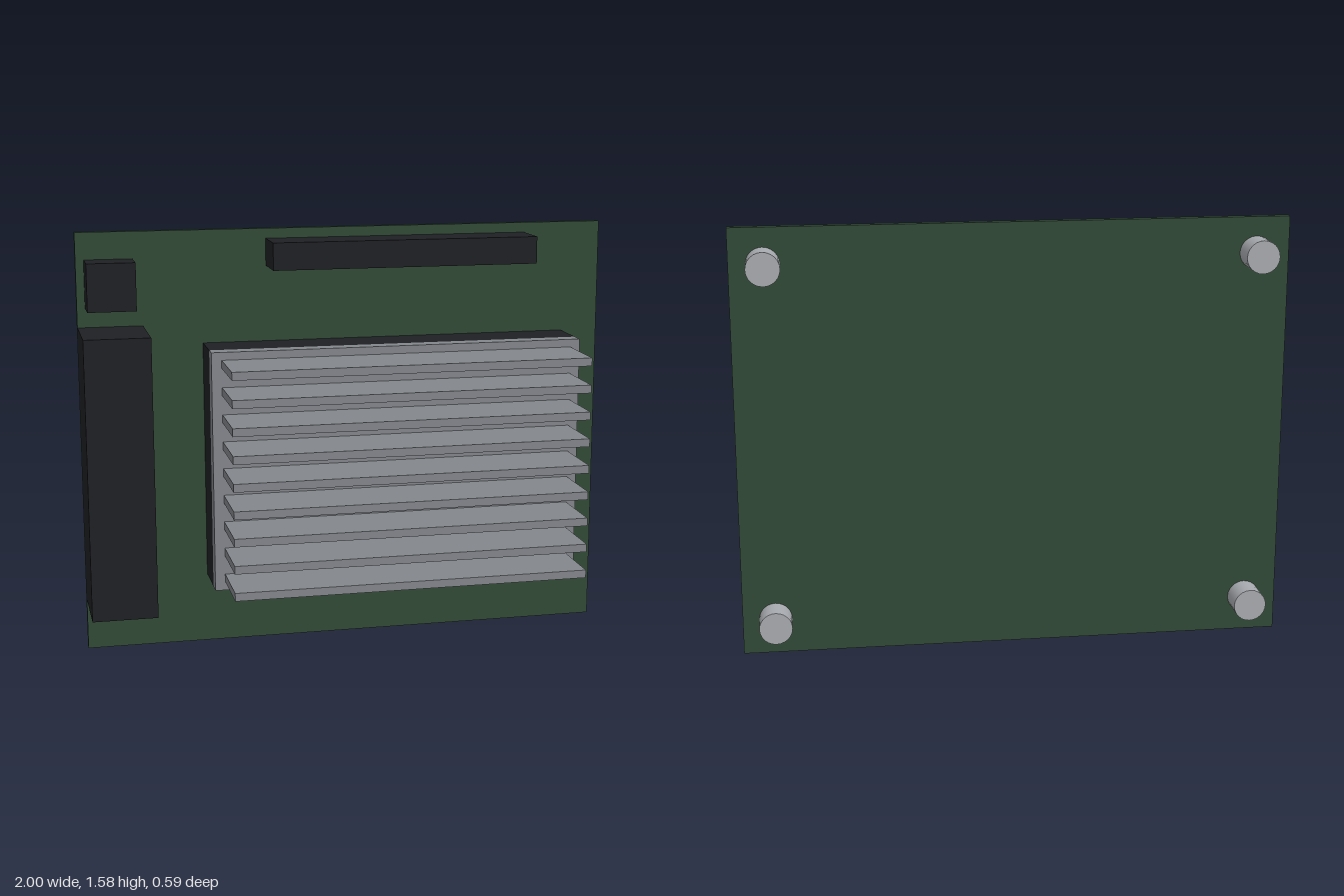
import * as THREE from 'three';

const material = (color) => new THREE.MeshStandardMaterial({ color });

export function createModel() {
  const model = new THREE.Group();
  const green = material(0x324a37);
  const black = material(0x1f2024);
  const metal = material(0x83868b);
  const steel = material(0xa8abb0);

  // Box given by its extents along each axis
  const addBox = (name, mat, [x0, x1], [y0, y1], [z0, z1], parent = model) => {
    const mesh = new THREE.Mesh(new THREE.BoxGeometry(x1 - x0, y1 - y0, z1 - z0), mat);
    mesh.position.set((x0 + x1) / 2, (y0 + y1) / 2, (z0 + z1) / 2);
    mesh.name = name;
    parent.add(mesh);
  };

  const back = -0.195, face = -0.165;

  // Circuit board
  addBox('circuitBoard', green, [-1, 1], [0, 1.58], [back, face]);

  // Connectors on the front face
  addBox('sideConnector', black, [-1, -0.76], [0.195, 1.232], [face, 0.115]);
  addBox('smallConnector', black, [-0.97, -0.793], [1.304, 1.48], [face, -0.045]);
  addBox('topHeader', black, [-0.3, 0.7], [1.442, 1.543], [face, -0.003]);

  // Processor block with finned heat sink
  addBox('processorBlock', black, [-0.54, 0.857], [0.265, 1.16], [face, 0]);
  const heatSink = new THREE.Group();
  heatSink.name = 'heatSink';
  model.add(heatSink);
  addBox('heatSinkBase', metal, [-0.54, 0.857], [0.265, 1.16], [0, 0.055], heatSink);
  for (let i = 0; i < 9; i++) {
    const y = 0.312 + i * 0.1005;
    addBox('heatSinkFin', metal, [-0.503, 0.82], [y - 0.015, y + 0.015], [0.055, 0.297], heatSink);
  }

  // Standoffs at the back corners
  const standoff = new THREE.CylinderGeometry(0.06, 0.06, 0.102, 24).rotateX(Math.PI / 2);
  for (const x of [-0.88, 0.88]) {
    for (const y of [0.132, 1.45]) {
      const mesh = new THREE.Mesh(standoff, steel);
      mesh.position.set(x, y, back - 0.051);
      mesh.name = 'standoff';
      model.add(mesh);
    }
  }

  return model;
}
